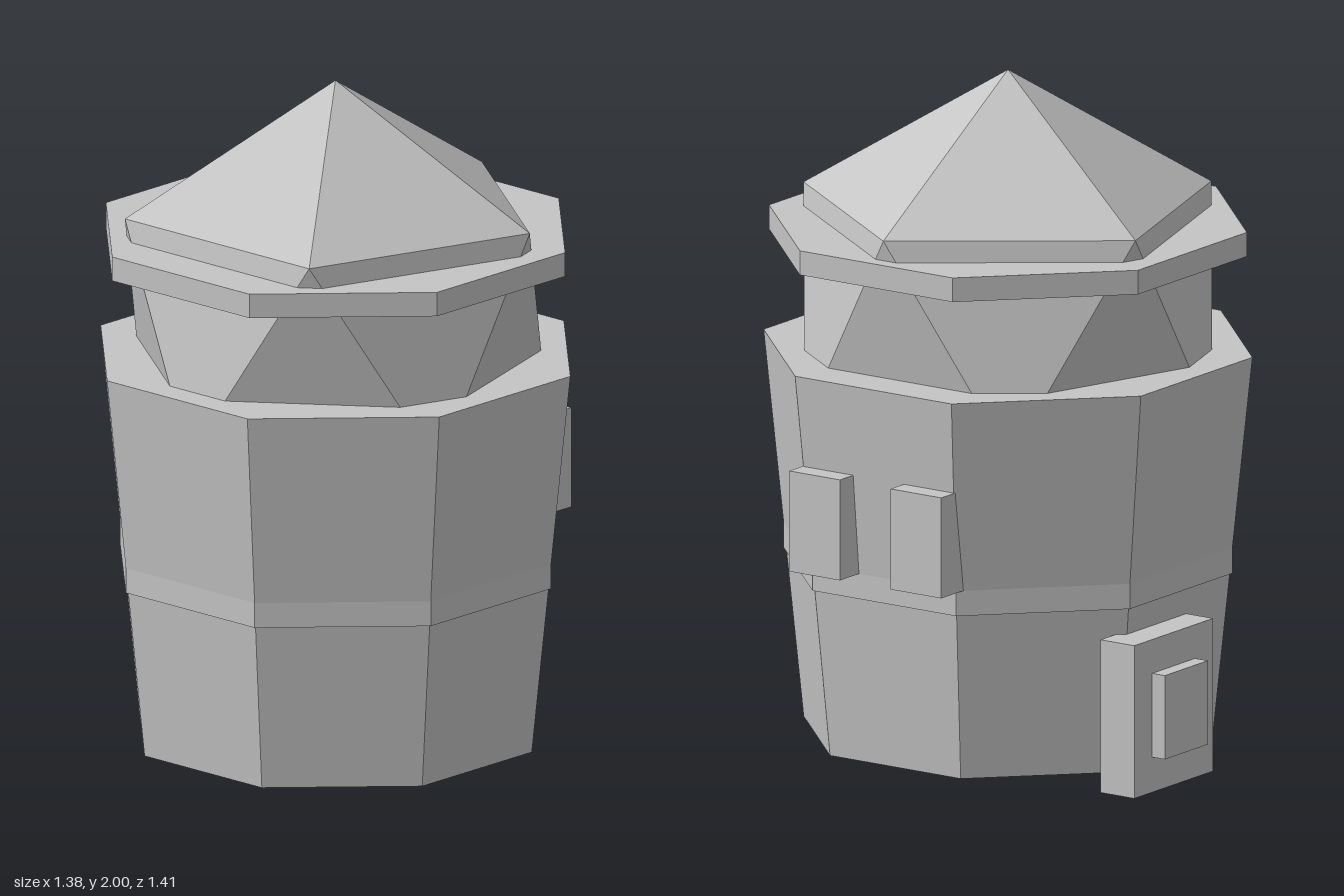
import * as THREE from 'three';

const CX = -0.02, CZ = 0.035; // common axis of body, brim and roof

export function createModel() {
  const group = new THREE.Group();
  const grey = new THREE.MeshStandardMaterial({ color: 0xc4c4c4 });
  grey.name = 'plain grey';

  function add(name, geometry) {
    const mesh = new THREE.Mesh(geometry, grey);
    mesh.name = name;
    group.add(mesh);
    return mesh;
  }

  // Faceted octagonal solid from [half width, height] pairs, bottom to top
  function octagon(name, profile) {
    const k = 1 / Math.cos(Math.PI / 8);
    const points = profile.map(([w, y]) => new THREE.Vector2(w * k, y));
    const geometry = new THREE.LatheGeometry(points, 8, Math.PI / 8).toNonIndexed();
    geometry.computeVertexNormals();
    add(name, geometry).position.set(CX, 0, CZ);
  }

  // Box given by its extents on each axis
  function box(name, [x0, x1], [y0, y1], [z0, z1]) {
    add(name, new THREE.BoxGeometry(x1 - x0, y1 - y0, z1 - z0))
      .position.set((x0 + x1) / 2, (y0 + y1) / 2, (z0 + z1) / 2);
  }

  // Tapered body with a small step and a vertical band at mid height
  octagon('body', [
    [0, 0.035], [0.56, 0.035], [0.608, 0.535], [0.615, 0.535],
    [0.615, 0.61], [0.67, 1.183], [0, 1.183],
  ]);

  // Thin brim around the head
  octagon('brim', [[0, 1.483], [0.655, 1.483], [0.655, 1.555], [0, 1.555]]);

  // Head: an icosahedron turned to stand on a corner, sunk into the body
  const R = 0.693;
  const ico = new THREE.IcosahedronGeometry(R, 0);
  ico.rotateX(-Math.atan2((1 + Math.sqrt(5)) / 2, 1));
  ico.rotateY(Math.PI / 2);
  add('head', ico).position.set(CX, 2 - R, CZ);

  // Pair of blocks on the left side
  box('leftBlockBack', [0.58, 0.69], [0.61, 0.91], [-0.235, -0.055]);
  box('leftBlockFront', [0.58, 0.69], [0.61, 0.91], [0.125, 0.305]);

  // Stepped box low on the back
  box('backBox', [-0.067, 0.325], [0, 0.456], [-0.66, -0.54]);
  box('backBoxPanel', [0.022, 0.236], [0.105, 0.355], [-0.705, -0.655]);

  return group;
}
